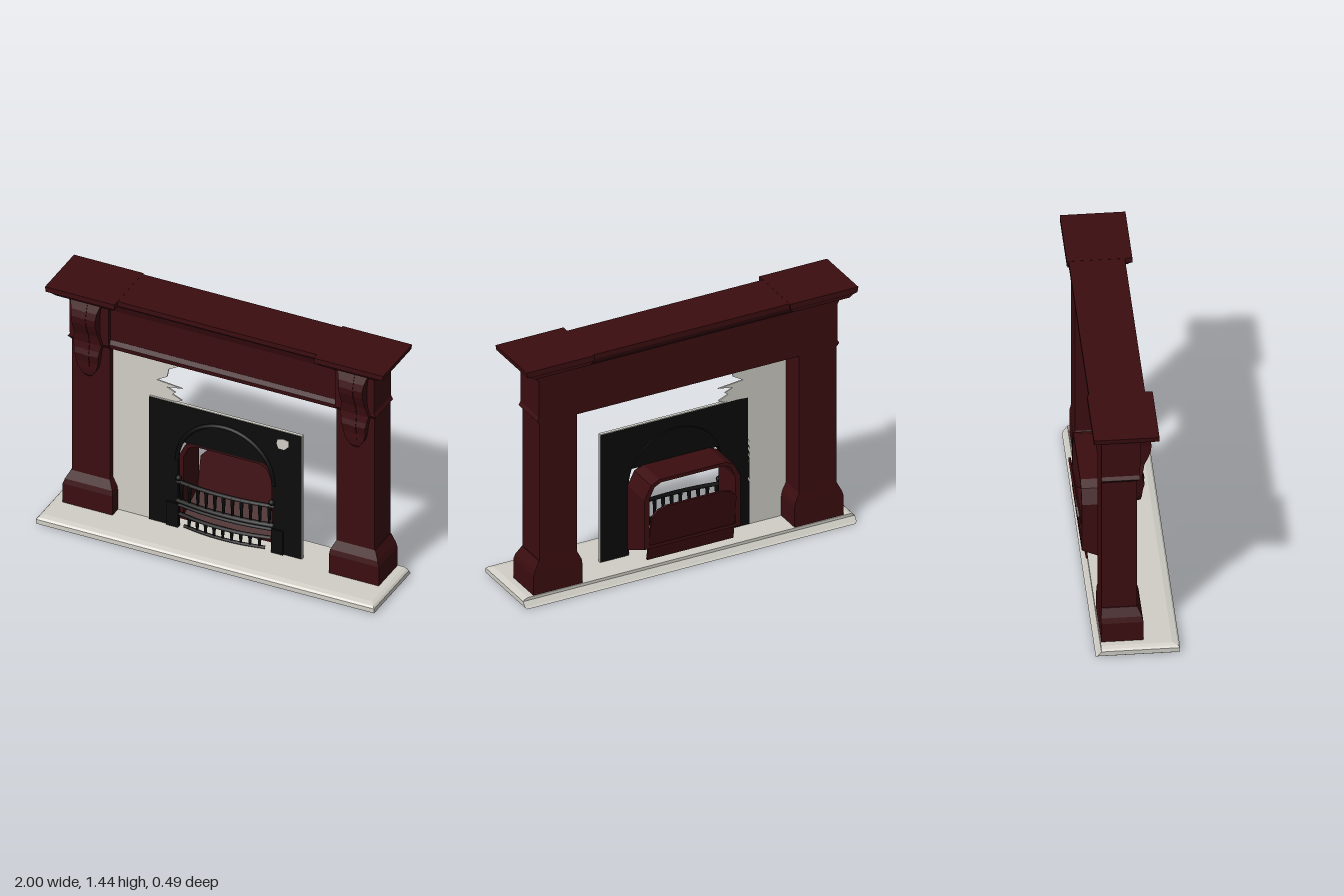
import * as THREE from 'three';

const mat = (name, color, side = THREE.FrontSide) => {
  const m = new THREE.MeshStandardMaterial({ color, side });
  m.name = name;
  return m;
};

// Stack of rectangles: each row is [y, x0, x1, zBack, zFront], bottom to top
function loft(rows) {
  const n = rows.length - 1;
  const g = new THREE.BoxGeometry(1, 1, 1, 1, n, 1);
  const p = g.attributes.position;
  for (let i = 0; i < p.count; i++) {
    const [y, x0, x1, z0, z1] = rows[Math.round((p.getY(i) + 0.5) * n)];
    p.setXYZ(i, p.getX(i) < 0 ? x0 : x1, y, p.getZ(i) < 0 ? z0 : z1);
  }
  const flat = g.toNonIndexed();
  flat.computeVertexNormals();
  return flat;
}

const outline = (pts) => new THREE.Shape(pts.map(([x, y]) => new THREE.Vector2(x, y)));

function extrude(shape, depth, z) {
  const g = new THREE.ExtrudeGeometry(shape, { depth, bevelEnabled: false, curveSegments: 20 });
  return g.translate(0, 0, z);
}

export function createModel() {
  const group = new THREE.Group();
  const wood = mat('dark red wood', 0x3b0d10);
  const stone = mat('pale stone', 0xd0cec6, THREE.DoubleSide);
  const iron = mat('black iron', 0x0b0b0b);

  const add = (name, geometry, material) => {
    const m = new THREE.Mesh(geometry, material);
    m.name = name;
    group.add(m);
    return m;
  };
  const box = (name, material, x0, x1, y0, y1, z0, z1) =>
    add(name, loft([[y0, x0, x1, z0, z1], [y1, x0, x1, z0, z1]]), material);

  // Hearth slab with a rounded front and ends
  add('hearth', loft([
    [0, -0.99, 0.99, -0.2, 0.235], [0.008, -1, 1, -0.19, 0.25], [0.035, -1, 1, -0.17, 0.25],
    [0.045, -0.99, 0.99, -0.17, 0.24], [0.052, -0.97, 0.97, -0.17, 0.21],
  ]), stone);

  // Pillars, plinths, scrolled corbels and the cornice ends
  for (const s of [-1, 1]) {
    const side = s < 0 ? 'right' : 'left';
    const part = (name, rows) => add(side + name, loft(rows.map(([y, a, b, z0, z1]) =>
      (s < 0 ? [y, -b, -a, z0, z1] : [y, a, b, z0, z1]))), wood);

    part('Pillar', [
      [0.05, 0.67, 0.895, -0.16, 0.03], [1.08, 0.67, 0.895, -0.16, 0.03],
      [1.1, 0.67, 0.912, -0.16, 0.045], [1.12, 0.67, 0.9, -0.16, 0.045],
      [1.39, 0.67, 0.9, -0.16, 0.05],
    ]);
    part('Plinth', [
      [0.05, 0.64, 0.935, -0.165, 0.06], [0.17, 0.64, 0.935, -0.165, 0.06],
      [0.2, 0.645, 0.925, -0.165, 0.053], [0.25, 0.67, 0.9, -0.16, 0.03],
    ]);
    const corbel = [
      [0.88, 0.01, 0.04], [0.9, 0.03, 0.055], [0.94, 0.055, 0.06], [0.98, 0.065, 0.062],
      [1.03, 0.07, 0.073], [1.06, 0.075, 0.065], [1.1, 0.085, 0.06], [1.16, 0.07, 0.072],
      [1.2, 0.07, 0.09], [1.24, 0.07, 0.105], [1.28, 0.07, 0.11], [1.32, 0.075, 0.1], [1.37, 0.09, 0.08],
    ];
    part('Corbel', corbel.map(([y, w, z]) => [y, 0.79 - w, 0.79 + w, 0, z]));
    // Raised rib down the corbel
    part('CorbelRib', corbel.slice(2).map(([y, , z]) => [y, 0.775, 0.805, 0, z + 0.004]));
    part('CorniceEnd', [
      [1.335, 0.66, 0.9, -0.16, 0.05], [1.36, 0.64, 0.915, -0.16, 0.065],
      [1.38, 0.62, 0.94, -0.165, 0.085], [1.385, 0.61, 0.95, -0.205, 0.115],
      [1.4, 0.6, 0.97, -0.205, 0.125], [1.41, 0.59, 0.995, -0.21, 0.14], [1.44, 0.59, 1, -0.21, 0.14],
    ]);
  }

  // Frieze beam between the pillars, with a low moulding
  box('frieze', wood, -0.68, 0.68, 1.08, 1.39, -0.16, 0.02);
  add('friezeMoulding', loft([
    [1.08, -0.67, 0.67, 0, 0.03], [1.105, -0.67, 0.67, 0, 0.034], [1.13, -0.67, 0.67, 0, 0.021],
  ]), wood);
  // Shelf between the cornice ends
  add('mantelShelf', loft([
    [1.32, -0.67, 0.67, -0.15, 0.025], [1.36, -0.65, 0.65, -0.16, 0.04],
    [1.385, -0.62, 0.62, -0.19, 0.07], [1.41, -0.6, 0.6, -0.2, 0.1], [1.439, -0.6, 0.6, -0.2, 0.1],
  ]), wood);

  // Pale backing panel with a broken edge
  add('backPanel', extrude(outline([
    [-0.68, 0.05], [-0.44, 0.05], [-0.44, 0.82], [-0.29, 0.83], [-0.26, 0.845], [-0.32, 0.87],
    [-0.3, 0.885], [-0.35, 0.905], [-0.26, 0.92], [-0.41, 0.935], [-0.35, 0.97], [-0.34, 1.02],
    [-0.27, 1.06], [-0.31, 1.075], [-0.3, 1.09], [-0.68, 1.09],
  ]), 0.008, -0.015), stone);

  // Iron surround with an arched opening
  const frame = outline([[-0.45, 0.05], [-0.28, 0.05], [-0.28, 0.47]]);
  frame.absarc(0, 0.47, 0.28, Math.PI, 0, true);
  [[0.28, 0.05], [0.45, 0.05], [0.45, 0.825], [-0.45, 0.825]].forEach(([x, y]) => frame.lineTo(x, y));
  add('surround', extrude(frame, 0.02, -0.015), iron);
  box('surroundEdge', stone, 0.449, 0.453, 0.05, 0.825, -0.015, 0.003);
  box('surroundTopEdge', stone, -0.45, 0.453, 0.824, 0.828, -0.015, 0.003);
  const rim = add('archRim', new THREE.TorusGeometry(0.285, 0.012, 6, 24, Math.PI), iron);
  rim.position.set(0, 0.47, 0.005);
  for (const s of [-1, 1]) {
    const x = s * 0.31;
    box('surroundFoot', iron, x - 0.035, x + 0.035, 0.05, 0.2, -0.01, 0.015);
  }
  // Hood filling the top of the arch
  const hood = new THREE.Shape();
  hood.absarc(0, 0.47, 0.285, 0.39, Math.PI - 0.39, false);
  add('hood', extrude(hood, 0.012, -0.028), iron);
  // Pale chip on the surround
  add('paleChip', extrude(outline([
    [0.315, 0.715], [0.35, 0.715], [0.375, 0.74], [0.375, 0.775], [0.345, 0.78], [0.31, 0.77], [0.305, 0.745],
  ]), 0.006, 0.002), stone);

  // Firebox shell, open at the back above the fire panel
  const shell = outline([[-0.29, 0.09], [0.29, 0.09], [0.29, 0.48], [0.25, 0.56], [0.2, 0.585],
    [-0.2, 0.585], [-0.25, 0.56], [-0.29, 0.48]]);
  shell.holes.push(outline([[-0.26, 0.11], [-0.26, 0.48], [-0.23, 0.545], [-0.19, 0.565],
    [0.19, 0.565], [0.23, 0.545], [0.26, 0.48], [0.26, 0.11]]));
  const shellGeo = extrude(shell, 0.19, -0.21);
  // Raise the rear lower edge a little
  const p = shellGeo.attributes.position;
  for (let i = 0; i < p.count; i++) {
    if (p.getZ(i) < -0.2 && p.getY(i) < 0.2) p.setY(i, p.getY(i) + 0.09);
  }
  shellGeo.computeVertexNormals();
  add('fireboxShell', shellGeo, wood);

  // Leaning fire panel with a shallow curved top
  const panel = outline([[-0.26, 0], [0.26, 0], [0.255, 0.28], [0.22, 0.32], [0.17, 0.335],
    [-0.17, 0.335], [-0.22, 0.32], [-0.255, 0.28]]);
  const firePanel = add('firePanel', extrude(panel, 0.012, 0), wood);
  firePanel.position.set(0, 0.1, -0.185);
  firePanel.rotation.x = -0.16;

  // Grate: bowed rails and upright bars
  const bow = (x, b) => 0.0 + b * (1 - (x / 0.28) ** 2);
  function rail(y, r, b, half) {
    const pts = [-1, -0.5, 0, 0.5, 1].map((t) => new THREE.Vector3(t * half, y, bow(t * half, b)));
    add('grateRail', new THREE.TubeGeometry(new THREE.CatmullRomCurve3(pts), 16, r, 6), iron);
  }
  rail(0.335, 0.013, 0.025, 0.285);
  rail(0.215, 0.015, 0.025, 0.285);
  rail(0.19, 0.012, 0.025, 0.285);
  rail(0.135, 0.012, 0.035, 0.27);
  rail(0.07, 0.01, 0.035, 0.24);
  for (let i = 0; i < 11; i++) {
    const x = -0.26 + i * 0.052;
    const bar = add('grateBar', new THREE.CylinderGeometry(0.012, 0.006, 0.13, 6), iron);
    bar.position.set(x, 0.275, bow(x, 0.025));
    if (i === 0 || i === 10) continue;
    const low = add('lowerGrateBar', new THREE.CylinderGeometry(0.011, 0.006, 0.065, 6), iron);
    low.position.set(x, 0.1, bow(x, 0.035));
  }
  for (const s of [-1, 1]) {
    const knob = add('grateKnob', new THREE.SphereGeometry(0.018, 8, 6), iron);
    knob.position.set(s * 0.275, 0.36, 0.005);
  }
  return group;
}
